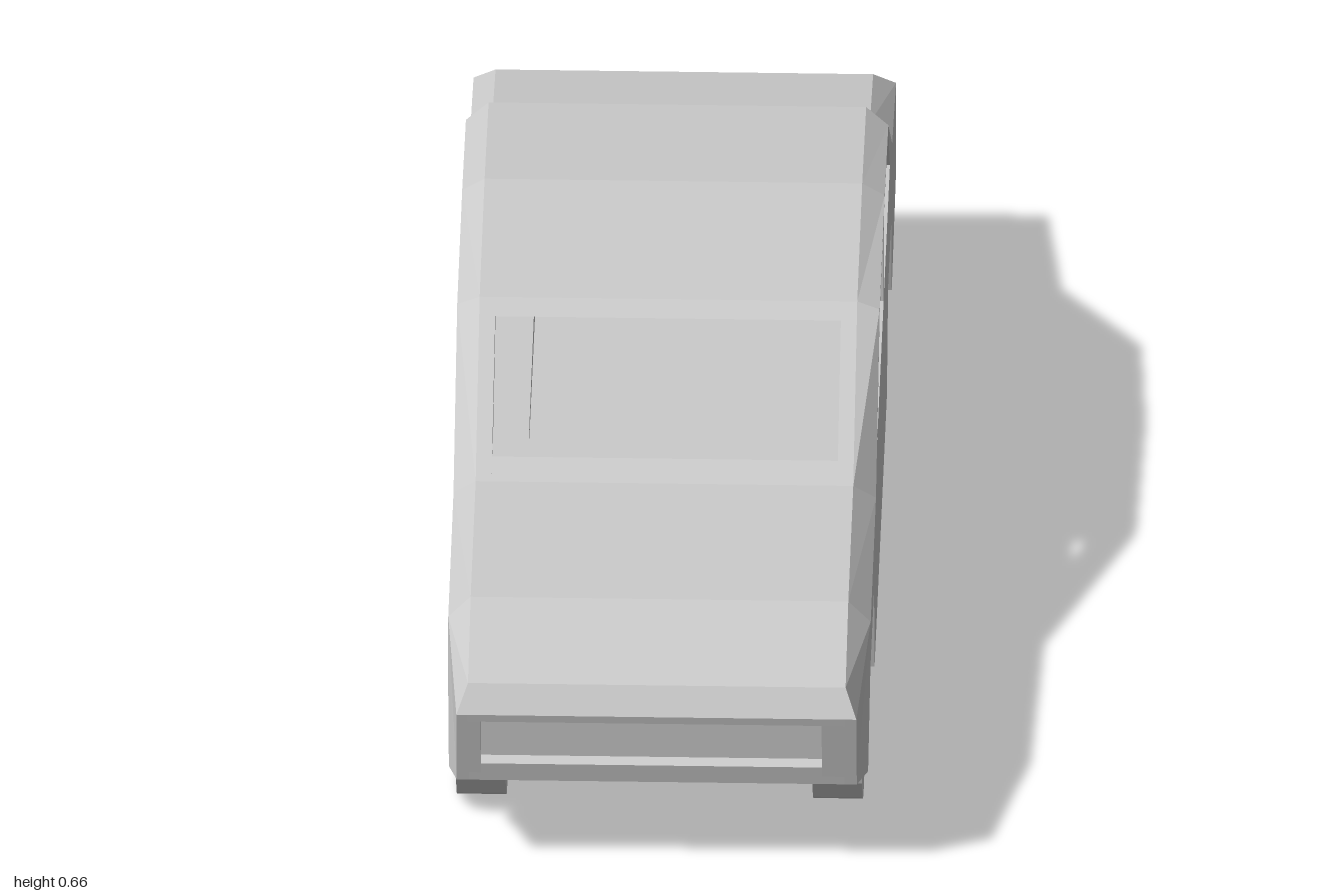
import * as THREE from 'three';

const grey = new THREE.MeshStandardMaterial({ color: 0xcccccc, flatShading: true });
const skin = new THREE.MeshStandardMaterial({ color: 0xcccccc, flatShading: true, side: THREE.DoubleSide });

const HALF = 0.358, TOP = 0.32;
const WHEELS = [0.68, -0.535];

const toPoints = (list) => list.map(([z, y]) => new THREE.Vector2(z, y));

// Narrows the outer flanks toward the nose
function outerX(z) {
  return HALF - 0.019 * THREE.MathUtils.clamp((z - 0.83) / 0.14, 0, 1);
}

// Extrudes a (z, y) outline across the car from x0 to x1
function slab(name, outline, x0, x1, holes = []) {
  const shape = new THREE.Shape(toPoints(outline));
  for (const h of holes) shape.holes.push(new THREE.Path(toPoints(h)));
  const geo = new THREE.ExtrudeGeometry(shape, { depth: x1 - x0, bevelEnabled: false });
  geo.rotateY(-Math.PI / 2).translate(x1, 0, 0);
  const p = geo.attributes.position;
  for (let i = 0; i < p.count; i++) {
    const x = p.getX(i);
    if (Math.abs(x) > 0.34) p.setX(i, Math.sign(x) * outerX(p.getZ(i)));
  }
  geo.computeVertexNormals();
  const mesh = new THREE.Mesh(geo, grey);
  mesh.name = name;
  return mesh;
}

// Underside outline from tail to nose, with wheel openings
const wideUnderside = [
  [-0.985, 0.19], [-0.70, 0.142], [-0.66, 0.306], [-0.44, 0.306], [-0.36, 0.142],
  [0.51, 0.136], [0.54, 0.312], [0.80, 0.312], [0.85, 0.136], [0.97, 0.183],
];
const narrowUnderside = [
  [-0.985, 0.19], [-0.70, 0.142], [-0.64, 0.142], [-0.62, 0.22], [-0.45, 0.22], [-0.43, 0.142],
  [0.57, 0.136], [0.59, 0.22], [0.77, 0.22], [0.79, 0.136], [0.85, 0.136], [0.97, 0.183],
];
// Recessed grille in the nose
const grille = [[0.977, 0.22], [0.957, 0.225], [0.962, 0.315], [0.997, 0.315]];
// Bonnet, cabin tub and boot from nose to tail
const upperLine = [
  [1, 0.33], [0.97, 0.375], [0.78, 0.43], [0.43, 0.445], [0.39, 0.47], [0.33, 0.47],
  [0.30, 0.25], [-0.55, 0.25], [-0.575, 0.47], [-0.715, 0.47], [-0.74, 0.45],
  [-0.97, 0.405], [-1, 0.37],
];

// Stations of the shoulder line and the top edge above it
const shoulder = [
  [1, 0.33], [1, 0.33], [0.78, 0.39], [0.41, 0.41], [0.15, 0.625], [-0.2, 0.637],
  [-0.46, 0.617], [-0.73, 0.415], [-1, 0.37], [-1, 0.37],
];
const topEdge = [
  [1, 0.33], [0.97, 0.375], [0.78, 0.43], [0.43, 0.445], [0.15, 0.64], [-0.2, 0.66],
  [-0.48, 0.64], [-0.74, 0.45], [-0.97, 0.405], [-1, 0.37],
];

// Chamfer strip joining a flank to the top surfaces
function chamfer(side) {
  const pos = [], index = [];
  shoulder.forEach(([z, y], i) => {
    const [tz, ty] = topEdge[i];
    pos.push(side * outerX(z), y, z, side * TOP, ty, tz);
    if (i === 0) return;
    const a = 2 * i - 2, b = 2 * i;
    if (side > 0) index.push(a, b, a + 1, a + 1, b, b + 1);
    else index.push(a, a + 1, b, a + 1, b + 1, b);
  });
  const geo = new THREE.BufferGeometry();
  geo.setAttribute('position', new THREE.Float32BufferAttribute(pos, 3));
  geo.setIndex(index);
  geo.computeVertexNormals();
  const mesh = new THREE.Mesh(geo, skin);
  mesh.name = 'shoulderChamfer';
  return mesh;
}

// Low-sided wheel with a recessed hub, axis along x
function wheel(side, z) {
  const profile = [[0, -0.042], [0.143, -0.042], [0.143, 0.042], [0.1, 0.042], [0.1, 0.02], [0, 0.02]];
  const geo = new THREE.LatheGeometry(toPoints(profile), 16);
  geo.rotateZ(-side * Math.PI / 2);
  const mesh = new THREE.Mesh(geo, grey);
  mesh.position.set(side * 0.302, 0.143, z);
  mesh.name = 'wheel';
  return mesh;
}

export function createModel() {
  const car = new THREE.Group();
  car.name = 'car';

  // Central body, with deeper wheel wells toward the flanks
  car.add(slab('centreBody', [...narrowUnderside, ...grille, ...upperLine], -0.24, 0.24));

  // Roof
  car.add(slab('roof', [
    [0.18, 0.62], [0.15, 0.64], [-0.2, 0.66], [-0.48, 0.64], [-0.51, 0.618],
    [-0.475, 0.611], [-0.2, 0.622], [0.15, 0.611],
  ], -TOP, TOP));

  const frontWindow = [[0.328, 0.47], [0.145, 0.617], [-0.13, 0.629], [-0.13, 0.47]];
  const rearWindow = [[-0.15, 0.47], [-0.15, 0.63], [-0.2, 0.631], [-0.455, 0.612], [-0.57, 0.47]];

  for (const side of [1, -1]) {
    const add = (name, outline, inner, outer, holes) =>
      car.add(slab(name, outline, Math.min(side * inner, side * outer), Math.max(side * inner, side * outer), holes));

    // Body beside the wheels and the closed end of the grille
    add('wheelWellBody', [...wideUnderside, ...grille, ...upperLine], 0.24, TOP);
    add('grilleEnd', [[0.94, 0.2], [0.9735, 0.2], [0.999, 0.325], [0.94, 0.325]], side > 0 ? 0.28 : 0.298, TOP);

    // Flank with side windows and centre pillar
    add('sidePanel', [...wideUnderside, ...shoulder.slice(1, -1)], 0.318, HALF, [frontWindow, rearWindow]);
    car.add(chamfer(side));

    // Windscreen and rear window pillars
    add('frontPillar', [[0.43, 0.445], [0.15, 0.64], [0.14, 0.612], [0.33, 0.468]], 0.293, TOP);
    add('rearPillar', [[-0.74, 0.45], [-0.57, 0.468], [-0.455, 0.612], [-0.48, 0.64]], 0.293, TOP);

    for (const z of WHEELS) car.add(wheel(side, z));
  }
  return car;
}
